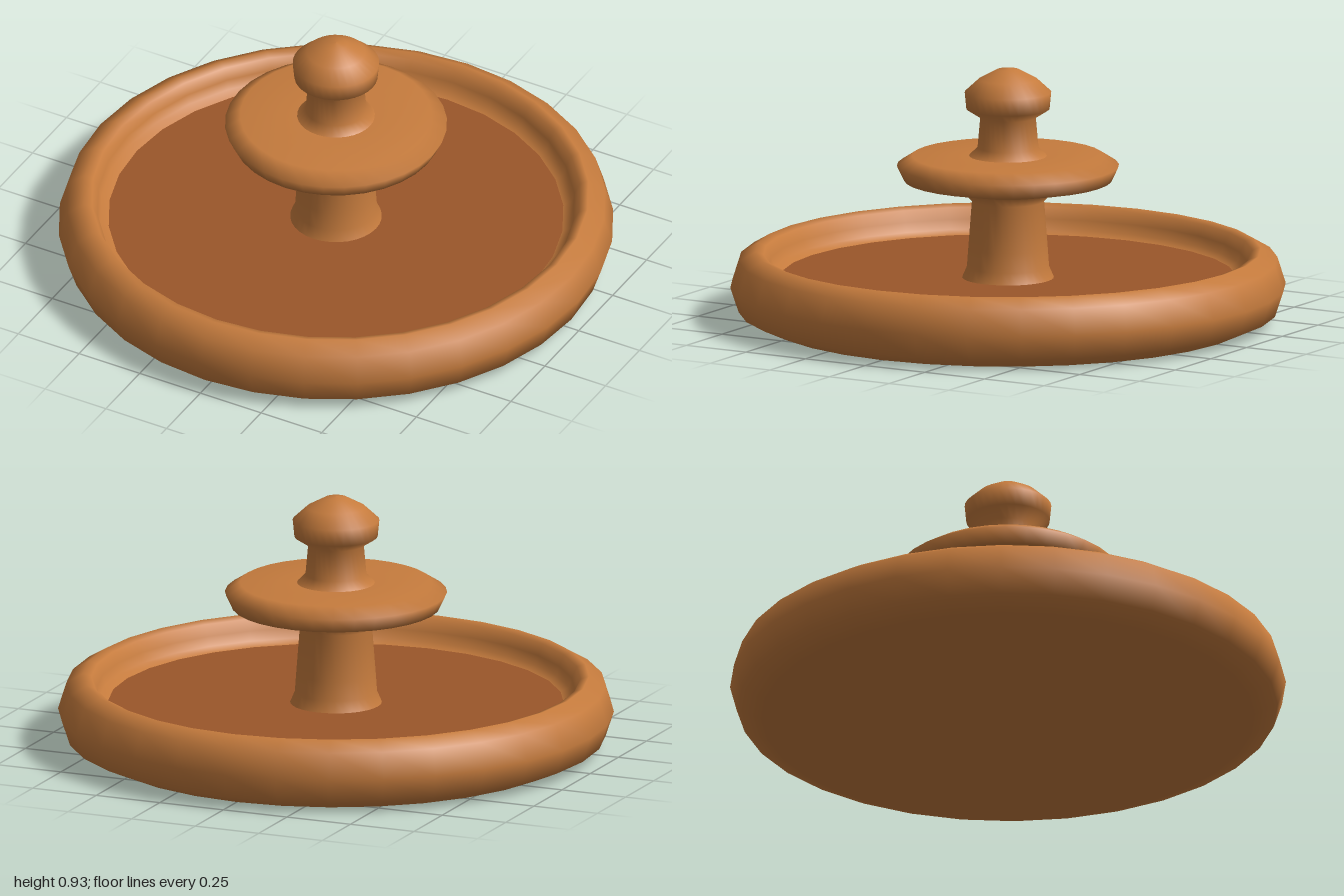
import * as THREE from 'three';

const SEGMENTS = 32;
const clay = new THREE.MeshStandardMaterial({ color: 0xc57b3d });
const darkClay = new THREE.MeshStandardMaterial({ color: 0x9a562a });

// Spins a profile of [radius, height] pairs, listed from the bottom up
function turned(name, profile, material = clay) {
  const points = profile.map(([r, y]) => new THREE.Vector2(r, y));
  const mesh = new THREE.Mesh(new THREE.LatheGeometry(points, SEGMENTS), material);
  mesh.name = name;
  return mesh;
}

export function createModel() {
  const model = new THREE.Group();
  model.name = 'fountain';

  // Wide basin: flat underside, rounded rim, fillet down to the floor
  model.add(turned('basin', [
    [0, 0], [0.88, 0], [0.97, 0.04], [1, 0.13], [0.97, 0.225], [0.91, 0.26],
    [0.88, 0.25], [0.86, 0.21], [0.85, 0.175], [0.82, 0.16],
  ]));

  // Dark floor inside the rim
  const floor = new THREE.Mesh(new THREE.CircleGeometry(0.82, SEGMENTS), darkClay);
  floor.name = 'basinFloor';
  floor.rotation.x = -Math.PI / 2;
  floor.position.y = 0.16;
  model.add(floor);

  // Lower column, flared at both ends
  model.add(turned('column', [
    [0.165, 0.16], [0.148, 0.2], [0.143, 0.27], [0.13, 0.44], [0.165, 0.475],
  ]));

  // Upper dish with a sloping underside and flat top
  model.add(turned('upperDish', [
    [0.16, 0.472], [0.375, 0.517], [0.4, 0.57], [0.345, 0.605], [0.14, 0.605],
  ]));

  // Neck and rounded knob
  model.add(turned('finial', [
    [0.14, 0.605], [0.11, 0.635], [0.1, 0.745], [0.15, 0.777], [0.156, 0.838],
    [0.105, 0.885], [0.04, 0.92], [0, 0.925],
  ]));

  return model;
}
